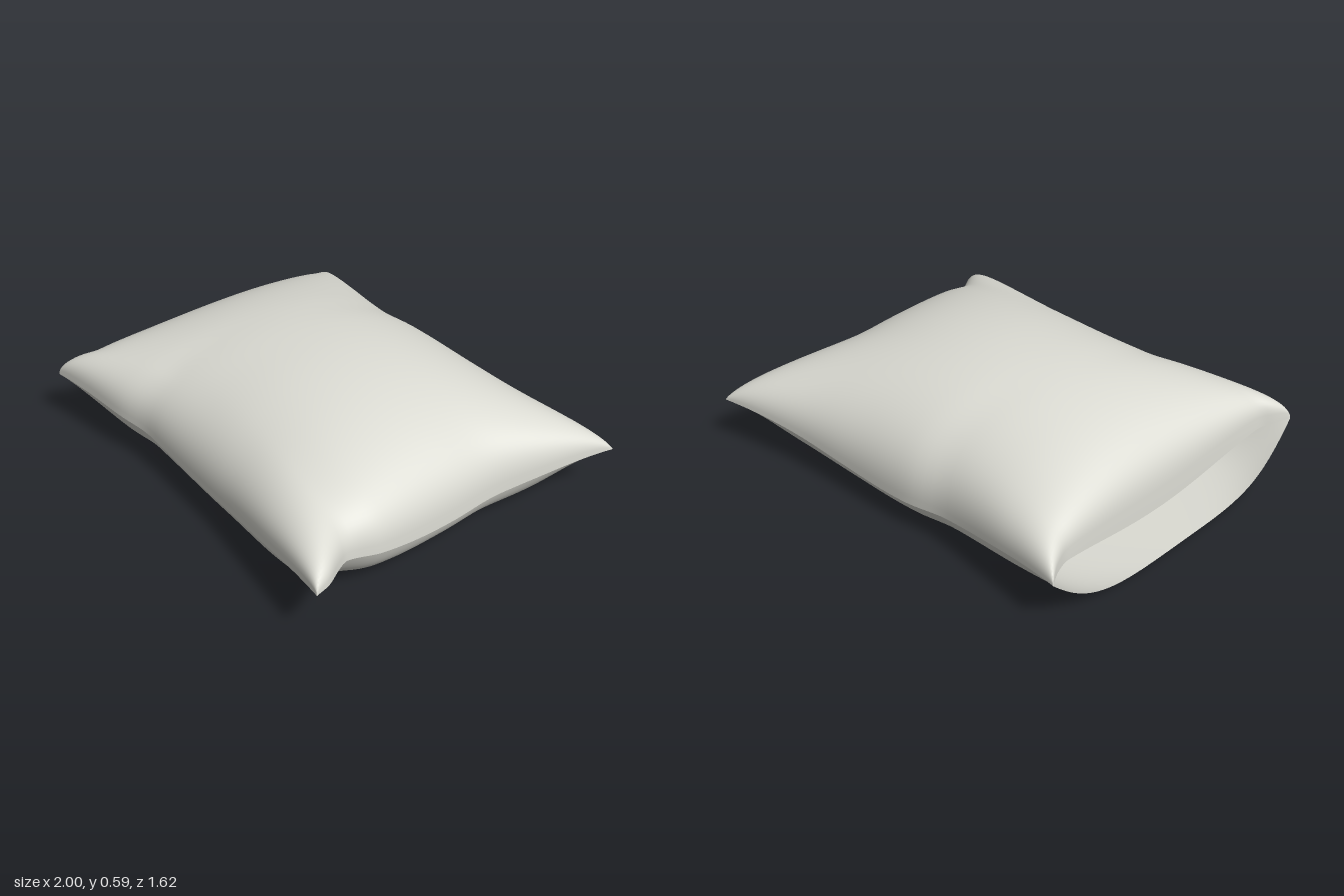
import * as THREE from 'three';

const fabric = new THREE.MeshStandardMaterial({ color: 0xdcdcd4, side: THREE.DoubleSide });
fabric.name = 'pale grey fabric';

// Smooth interpolation through [position, value] pairs
function edge(points) {
  return (p) => {
    let i = 0;
    while (i < points.length - 2 && p > points[i + 1][0]) i++;
    const slope = (k) => {
      const a = points[Math.max(k - 1, 0)], b = points[Math.min(k + 1, points.length - 1)];
      return (b[1] - a[1]) / (b[0] - a[0]);
    };
    const [x0, y0] = points[i], [x1, y1] = points[i + 1];
    const w = x1 - x0, t = (p - x0) / w, t2 = t * t, t3 = t2 * t;
    return (2 * t3 - 3 * t2 + 1) * y0 + (t3 - 2 * t2 + t) * w * slope(i)
      + (3 * t2 - 2 * t3) * y1 + (t3 - t2) * w * slope(i + 1);
  };
}

// Outline of the seams, with slightly gathered sides and pulled-out corners
const frontEdge = edge([[-1, 0.8], [-0.8, 0.765], [-0.58, 0.73], [-0.38, 0.69], [0.2, 0.71], [0.6, 0.755], [1, 0.805]]);
const backEdge = edge([[-1, -0.785], [-0.7, -0.74], [-0.32, -0.695], [-0.1, -0.715], [0.3, -0.72], [0.6, -0.74], [1, -0.81]]);
const closedEdge = edge([[-1, 1], [-0.62, 0.925], [-0.35, 0.875], [-0.22, 0.865], [0, 0.875], [0.5, 0.895], [0.7, 0.875], [0.78, 0.905], [0.9, 0.965], [1, 0.99]]);
const upperLip = edge([[-1, -0.99], [-0.9, -0.945], [-0.78, -0.915], [0, -0.895], [0.8, -0.915], [0.9, -0.95], [1, -0.98]]);
const lowerLip = edge([[-1, -0.99], [-0.8, -0.998], [0, -1], [0.6, -0.998], [1, -0.98]]);

// Bends a square sheet to the outline and gives it a height
function sheet(name, facing, openEdge, height) {
  const geo = new THREE.PlaneGeometry(2, 2, 64, 64).rotateX(-facing * Math.PI / 2);
  const pos = geo.attributes.position;
  for (let i = 0; i < pos.count; i++) {
    const s = Math.sin(pos.getX(i) * Math.PI / 2); // rows crowd toward the seams
    const t = Math.sin(pos.getZ(i) * Math.PI / 2);
    // the seam sags between the corners
    const seam = 0.232 + 0.012 * t - 0.09 * Math.pow(1 - s * s * t * t, 2);
    pos.setXYZ(i,
      THREE.MathUtils.lerp(openEdge(t), closedEdge(t), (s + 1) / 2),
      height(s, t, seam),
      THREE.MathUtils.lerp(backEdge(s), frontEdge(s), (t + 1) / 2));
  }
  geo.computeVertexNormals();
  const mesh = new THREE.Mesh(geo, fabric);
  mesh.name = name;
  return mesh;
}

export function createModel() {
  const group = new THREE.Group();
  group.name = 'openPillowcase';

  // Puffed upper sheet, fullest beside the open lip and the front corners
  const dome = (v, power) => Math.pow(Math.max(0, 1 - v * v), power);
  group.add(sheet('upperSheet', 1, upperLip, (s, t, seam) => {
    const rise = dome(s, s < 0 ? 0.25 : 0.34) * dome(t, 0.42 - 0.06 * s * s * (1 + t));
    return THREE.MathUtils.lerp(seam, 0.59, rise);
  }));

  // Flat lower sheet, sloping gently up to the corners and left flat at the opening
  const flat = (v, n) => 1 - Math.pow(Math.abs(v), n);
  group.add(sheet('lowerSheet', -1, lowerLip, (s, t, seam) =>
    seam * (1 - (s > 0 ? flat(s, 16 - 11 * t * t) : 1) * flat(t, 10 - 6.5 * s * s))));

  return group;
}
